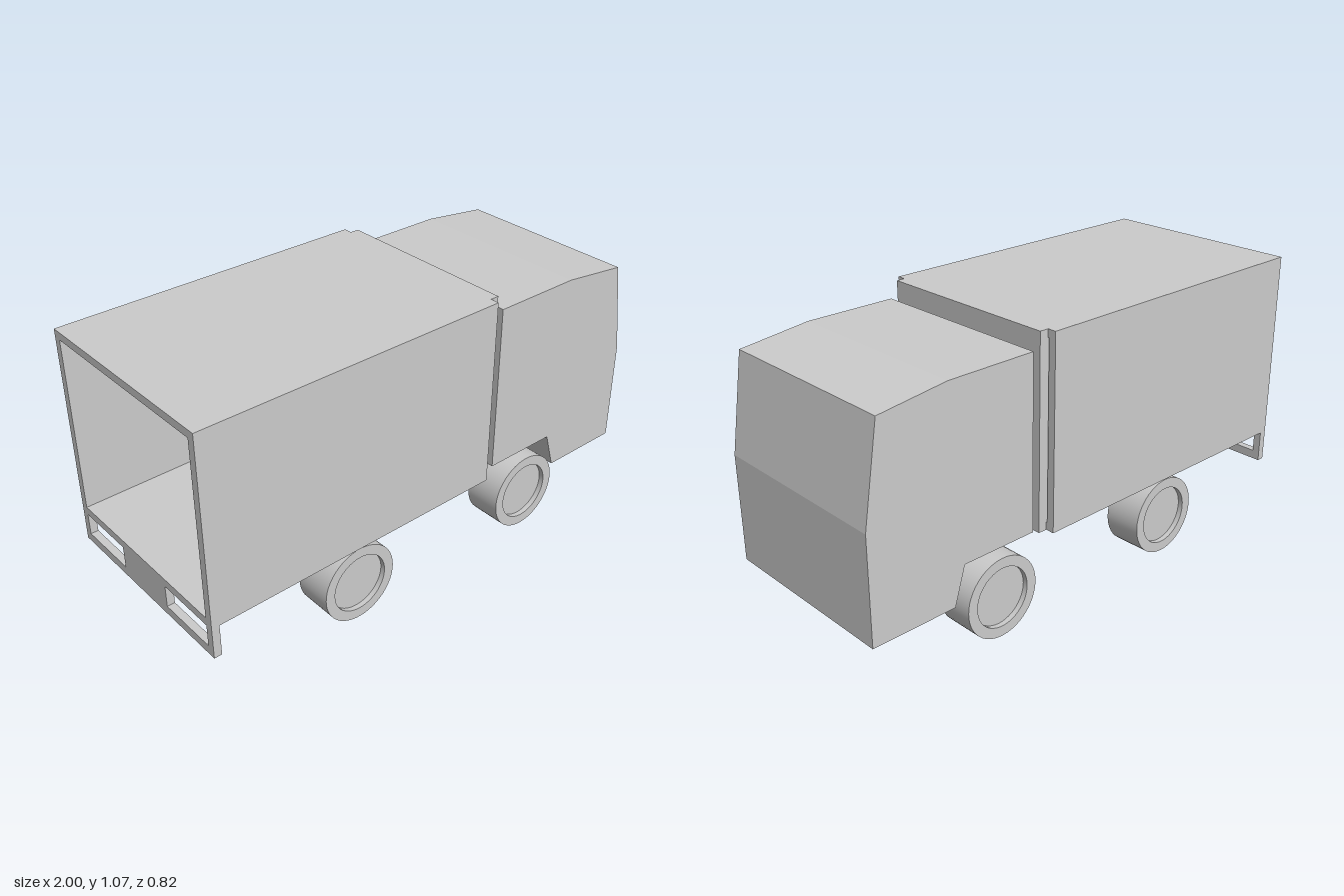
import * as THREE from 'three';
import { toCreasedNormals } from 'three/addons/utils/BufferGeometryUtils.js';

const material = new THREE.MeshStandardMaterial({ color: 0xcccccc });

function polygon(points) {
  return new THREE.Shape(points.map(([x, y]) => new THREE.Vector2(x, y)));
}

// Rectangle outline, used for panels and their openings
function rect(x0, y0, x1, y1) {
  return polygon([[x0, y0], [x1, y0], [x1, y1], [x0, y1]]);
}

function extrude(shape, depth) {
  return new THREE.ExtrudeGeometry(shape, { depth, bevelEnabled: false });
}

// Extrude a z/y cross-section along x, starting at x0
function extrudeAlongX(shape, x0, x1) {
  return extrude(shape, x1 - x0).rotateY(Math.PI / 2).translate(x0, 0, 0);
}

export function createModel() {
  const truck = new THREE.Group();
  truck.name = 'truck';

  function add(name, geometry, parent = truck) {
    const mesh = new THREE.Mesh(geometry, material);
    mesh.name = name;
    parent.add(mesh);
    return mesh;
  }

  // Cargo box: hollow tube open at the rear, closed by a narrower front panel
  const section = rect(-0.41, 0.32, 0.41, 1.065);
  section.holes.push(rect(-0.38, 0.35, 0.38, 1.035));
  add('cargoBox', extrudeAlongX(section, -1, 0.24));
  add('cargoFrontPanel', extrudeAlongX(rect(-0.375, 0.32, 0.375, 1.065), 0.235, 0.275));

  // Rear bumper with two openings
  const bumper = rect(-0.41, 0.195, 0.41, 0.32);
  bumper.holes.push(rect(-0.38, 0.23, -0.135, 0.318), rect(0.135, 0.23, 0.38, 0.318));
  add('rearBumper', extrudeAlongX(bumper, -1, -0.97));

  // Cab: side profile with raked windscreen and cut-out for the front wheels
  const cab = polygon([
    [0.305, 0.335], [0.615, 0.335], [0.66, 0.187], [1, 0.187],
    [1, 0.6], [0.94, 0.97], [0.665, 1.003], [0.305, 1.003],
  ]);
  add('cab', extrude(cab, 0.75).translate(0, 0, -0.375));

  // Wheel: tyre ring with a shallow outer recess and a deep inner hollow
  const profile = [
    [0, 0.36], [0.115, 0.36], [0.115, 0.25], [0.155, 0.25],
    [0.155, 0.4], [0.115, 0.4], [0.115, 0.38], [0, 0.38],
  ].map(([r, z]) => new THREE.Vector2(r, z));
  const wheel = toCreasedNormals(new THREE.LatheGeometry(profile, 48), 0.6).rotateX(Math.PI / 2);

  // Axles with a wheel at each end
  const axleHeight = 0.155;
  const axles = { front: 0.47, rear: -0.375 };
  for (const [end, x] of Object.entries(axles)) {
    const group = new THREE.Group();
    group.name = `${end}Axle`;
    group.position.set(x, axleHeight, 0);
    truck.add(group);
    add('axleRod', new THREE.CylinderGeometry(0.028, 0.028, 0.73, 24).rotateX(Math.PI / 2), group);
    add('frontSideWheel', wheel, group);
    add('backSideWheel', wheel, group).rotation.y = Math.PI;
  }

  // Drive shaft and differential
  const shaftLength = axles.front - axles.rear;
  const shaft = new THREE.CylinderGeometry(0.028, 0.028, shaftLength, 24).rotateZ(Math.PI / 2);
  add('driveShaft', shaft).position.set((axles.front + axles.rear) / 2, axleHeight, 0);
  add('differential', new THREE.SphereGeometry(0.06, 12, 8)).position.set(axles.rear, axleHeight, 0);

  return truck;
}
